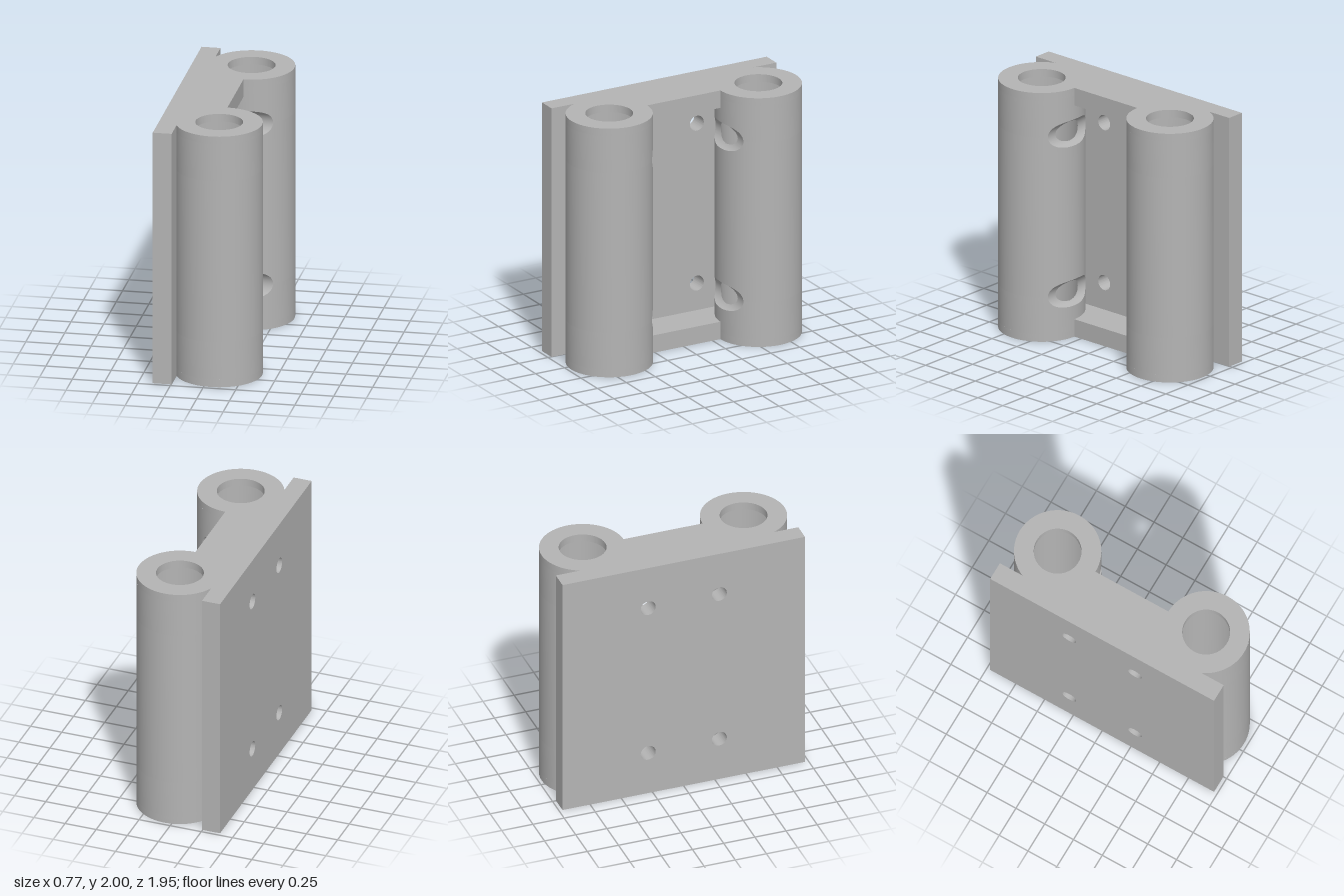
import * as THREE from 'three';
import { toCreasedNormals } from 'three/addons/utils/BufferGeometryUtils.js';

const H = 2, CX = 0.056, CZ = 0.645;            // height, tube axis
const R_OUT = 0.328, R_BORE = 0.28, R_LIP = 0.18, LIP = 0.06;
const BACK = -0.39, FLOOR = -0.245, WEB = 0.14; // plate back and front, web height
const HOLE_Z = 0.285, HOLE_R = 0.06, CUT_R = 0.11;
const HOLE_Y = [0.357, 1.643];
const CUT_U = CZ - HOLE_Z;                      // screw axis distance from tube axis

// Grid surface from a rule fn(u, v), v running 0..1
function surface(fn, us, vs, flip) {
  const pos = [], idx = [], n = vs.length;
  us.forEach(u => vs.forEach(v => pos.push(...fn(u, v))));
  for (let i = 0; i < us.length - 1; i++) for (let j = 0; j < n - 1; j++) {
    const a = i * n + j, b = a + n, c = b + 1, d = a + 1;
    idx.push(...(flip ? [a, c, b, a, d, c] : [a, b, c, a, c, d]));
  }
  const g = new THREE.BufferGeometry();
  g.setAttribute('position', new THREE.Float32BufferAttribute(pos, 3));
  g.setIndex(idx);
  return toCreasedNormals(g, 0.6);
}

function extrude(shape, depth) {
  return toCreasedNormals(new THREE.ExtrudeGeometry(shape, { depth, bevelEnabled: false, curveSegments: 48 }), 0.6);
}

function circle(x, y, r) {
  return new THREE.Path().absarc(x, y, r, 0, Math.PI * 2, true);
}

// Samples from -limit to limit, denser at the ends
function eased(limit, n) {
  return Array.from({ length: 2 * n + 1 }, (_, k) => limit * Math.sin((k / n - 1) * Math.PI / 2));
}

// Three bands of a cylinder wall, leaving out the screwdriver clearance cuts
function wallBands(r, inward) {
  const edge = Math.acos((CUT_U - CUT_R) / r);
  const angles = eased(edge, 16);
  for (let k = 1; k <= 64; k++) angles.push(edge + (2 * Math.PI - 2 * edge) * k / 64);
  const half = t => Math.sqrt(Math.max(0, CUT_R ** 2 - (CUT_U - r * Math.cos(t)) ** 2));
  const bands = [
    [() => LIP, t => HOLE_Y[0] - half(t)],
    [t => HOLE_Y[0] + half(t), t => HOLE_Y[1] - half(t)],
    [t => HOLE_Y[1] + half(t), () => H - LIP],
  ];
  return bands.map(([lo, hi]) => surface(
    (t, v) => [CX + r * Math.sin(t), v ? hi(t) : lo(t), CZ - r * Math.cos(t)],
    angles, [0, 1], !inward));
}

// Side of one clearance cut, from the bore to the outside
function cutSide(yc, side) {
  const limit = Math.acos((CUT_U - R_OUT) / CUT_R);
  const chord = (r, u) => Math.sqrt(Math.max(0, r * r - u * u));
  return surface((p, v) => {
    const u = CUT_U - CUT_R * Math.cos(p);
    const x = v ? chord(R_OUT, u) : chord(R_BORE, u);
    return [CX + side * x, yc + CUT_R * Math.sin(p), CZ - u];
  }, eased(limit, 24), [0, 1], side < 0);
}

export function createModel() {
  const model = new THREE.Group();
  model.name = 'twinTubeBracket';
  const grey = new THREE.MeshStandardMaterial({ color: 0xb4b4b4 });
  grey.name = 'grey';
  const add = (parent, geometry, name) => {
    const m = new THREE.Mesh(geometry, grey);
    m.name = name;
    parent.add(m);
    return m;
  };

  // Mounting plate with four screw holes
  const w = 0.972;
  const face = new THREE.Shape([[-w, 0], [w, 0], [w, H], [-w, H]].map(p => new THREE.Vector2(...p)));
  for (const y of HOLE_Y) for (const z of [-HOLE_Z, HOLE_Z]) face.holes.push(circle(z, y, HOLE_R));
  const plate = add(model, extrude(face, FLOOR - BACK), 'mountingPlate');
  plate.rotation.y = Math.PI / 2;
  plate.position.x = BACK;

  // Webs joining the tubes at both ends, hollowed to follow the tube walls
  const r = 0.31, a = Math.acos((CX - FLOOR) / r);
  const web = new THREE.Shape();
  web.moveTo(CX, -CZ + r);
  web.absarc(CX, -CZ, r, Math.PI / 2, Math.PI - a, false);
  web.lineTo(FLOOR, CZ - r * Math.sin(a));
  web.absarc(CX, CZ, r, Math.PI + a, Math.PI * 1.5, false);
  web.closePath();
  for (const [y, name] of [[0, 'lowerWeb'], [H - WEB, 'upperWeb']]) {
    const m = add(model, extrude(web, WEB), name);
    m.rotation.x = -Math.PI / 2;
    m.position.y = y;
  }

  // Two bearing tubes, the second turned over to the other side
  const ring = new THREE.Shape().absarc(0, 0, R_OUT, 0, Math.PI * 2, false);
  ring.holes.push(circle(0, 0, R_LIP));
  for (const name of ['frontTube', 'backTube']) {
    const tube = new THREE.Group();
    tube.name = name;
    wallBands(R_OUT, false).forEach(g => add(tube, g, 'outerWall'));
    wallBands(R_BORE, true).forEach(g => add(tube, g, 'boreWall'));
    for (const y of HOLE_Y) for (const s of [-1, 1]) add(tube, cutSide(y, s), 'clearanceCut');
    for (const y of [0, H - LIP]) {
      const lip = add(tube, extrude(ring, LIP), 'endLip');
      lip.rotation.x = -Math.PI / 2;
      lip.position.set(CX, y, CZ);
    }
    if (name === 'backTube') {
      tube.rotation.x = Math.PI;
      tube.position.y = H;
    }
    model.add(tube);
  }
  return model;
}
